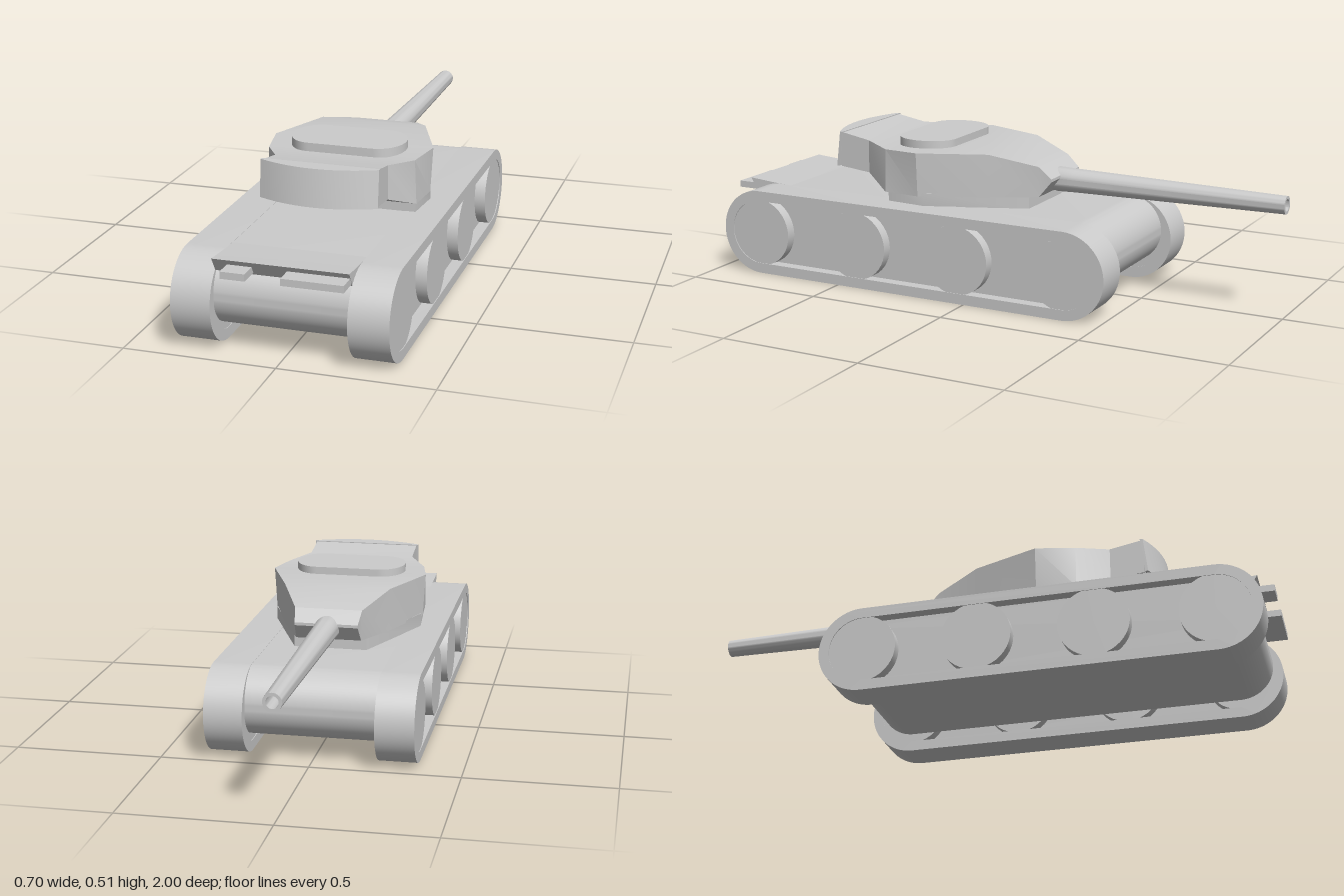
import * as THREE from 'three';
import { toCreasedNormals } from 'three/addons/utils/BufferGeometryUtils.js';

const material = new THREE.MeshStandardMaterial({ color: 0xcccccc });

function add(parent, name, geometry, crease = 0.5) {
  const mesh = new THREE.Mesh(toCreasedNormals(geometry, crease), material);
  mesh.name = name;
  parent.add(mesh);
  return mesh;
}

// Stadium outline: two half ellipses joined by straight runs
function stadium(half, rx, ry = rx, Type = THREE.Shape) {
  const s = new Type();
  s.moveTo(-half, -ry);
  s.lineTo(half, -ry);
  s.absellipse(half, 0, rx, ry, -Math.PI / 2, Math.PI / 2, false);
  s.lineTo(-half, ry);
  s.absellipse(-half, 0, rx, ry, Math.PI / 2, Math.PI * 1.5, false);
  return s;
}

// Extrude a side-view shape (drawn with u = -z) across x, centred on x = 0
function across(shape, width) {
  return new THREE.ExtrudeGeometry(shape, { depth: width, bevelEnabled: false, curveSegments: 20 })
    .translate(0, 0, -width / 2).rotateY(Math.PI / 2);
}

// Extrude a plan shape (drawn as x, -z) upward from y0 to y1
function upward(shape, y0, y1) {
  return new THREE.ExtrudeGeometry(shape, { depth: y1 - y0, bevelEnabled: false, curveSegments: 12 })
    .rotateX(-Math.PI / 2).translate(0, y0, 0);
}

const polygon = (points) => new THREE.Shape(points.map(([x, y]) => new THREE.Vector2(x, y)));

// Loft four-cornered sections: [z, top y, top half width, bottom y, bottom half width]
function loft(sections) {
  const pos = [], idx = [];
  for (const [z, yt, wt, yb, wb] of sections) {
    pos.push(wt, yt, z, -wt, yt, z, -wb, yb, z, wb, yb, z);
  }
  for (let k = 0; k < sections.length - 1; k++) {
    for (let i = 0; i < 4; i++) {
      const a = k * 4 + i, b = k * 4 + (i + 1) % 4;
      idx.push(a, b, b + 4, a, b + 4, a + 4);
    }
  }
  const e = (sections.length - 1) * 4;
  idx.push(0, 2, 1, 0, 3, 2, e, e + 1, e + 2, e, e + 2, e + 3);
  const g = new THREE.BufferGeometry();
  g.setAttribute('position', new THREE.Float32BufferAttribute(pos, 3));
  g.setIndex(idx);
  return g;
}

function createTrack(side) {
  const track = new THREE.Group();
  track.name = side > 0 ? 'leftTrack' : 'rightTrack';
  track.position.set(side * 0.283, 0.15, 0.23);

  // Tread band, open in the middle
  const band = stadium(0.595, 0.15);
  band.holes.push(stadium(0.595, 0.114, 0.114, THREE.Path));
  add(track, 'treadBand', across(band, 0.13));

  // Recessed plate behind the wheels
  add(track, 'innerPlate', across(stadium(0.595, 0.115), 0.05));

  // Four road wheels
  for (let i = 0; i < 4; i++) {
    const wheel = new THREE.CylinderGeometry(0.12, 0.12, 0.125, 40).rotateZ(Math.PI / 2);
    add(track, 'roadWheel', wheel).position.z = 0.595 - i * 0.3967;
  }
  return track;
}

function createTurret() {
  const turret = new THREE.Group();
  turret.name = 'turret';

  // Collar under the turret
  const half = [[0.125, 0.135], [0.262, -0.2], [0.25, -0.345]];
  const collar = polygon([...half, ...half.map(([x, y]) => [-x, y]).reverse()]);
  add(turret, 'turretCollar', upward(collar, 0.295, 0.345));

  // Faceted body, from gun face to bustle
  add(turret, 'turretBody', loft([
    [-0.21, 0.405, 0.108, 0.395, 0.108],
    [-0.165, 0.445, 0.115, 0.34, 0.112],
    [-0.01, 0.485, 0.185, 0.335, 0.18],
    [0.22, 0.484, 0.275, 0.332, 0.266],
    [0.355, 0.48, 0.25, 0.332, 0.256],
    [0.46, 0.49, 0.19, 0.375, 0.19],
    [0.575, 0.51, 0.19, 0.387, 0.19],
  ]), 0.4);

  // Bowed rear plate, leaning outward at the foot
  const bow = new THREE.Shape();
  bow.moveTo(0.196, -0.565);
  bow.lineTo(-0.196, -0.565);
  bow.lineTo(-0.196, -0.575);
  bow.quadraticCurveTo(0, -0.67, 0.196, -0.575);
  const plate = upward(bow, 0.388, 0.511);
  const p = plate.attributes.position;
  for (let i = 0; i < p.count; i++) p.setZ(i, p.getZ(i) + (0.511 - p.getY(i)) * 0.12);
  add(turret, 'bustleRearPlate', plate);

  // Roof hatch
  add(turret, 'roofHatch', upward(stadium(0.11, 0.085, 0.106), 0.47, 0.51))
    .position.z = 0.262;

  // Tapered barrel with an open bore
  const profile = [[0, 0.13], [0.036, 0.13], [0.043, 0.19], [0.041, 0.25], [0.03, 1],
    [0.02, 1], [0.02, 0.9], [0, 0.9]].map(([r, d]) => new THREE.Vector2(r, d));
  add(turret, 'gunBarrel', new THREE.LatheGeometry(profile, 28).rotateX(-Math.PI / 2))
    .position.y = 0.384;
  return turret;
}

export function createModel() {
  const tank = new THREE.Group();
  tank.name = 'tank';

  // Hull with rounded ends
  add(tank, 'hull', across(stadium(0.592, 0.118), 0.438)).position.set(0, 0.181, 0.232);

  // Raised lip at the rear edge of the deck
  const lip = polygon([[-0.72, 0.297], [-0.83, 0.301], [-0.95, 0.31], [-0.92, 0.262], [-0.84, 0.25]].reverse());
  add(tank, 'rearDeckLip', across(lip, 0.436));

  // Small boxes on the rear face
  for (const [x0, x1] of [[-0.172, -0.093], [0.02, 0.217]]) {
    add(tank, 'rearBox', new THREE.BoxGeometry(x1 - x0, 0.023, 0.1))
      .position.set((x0 + x1) / 2, 0.281, 0.95);
  }

  tank.add(createTrack(1), createTrack(-1), createTurret());
  return tank;
}
